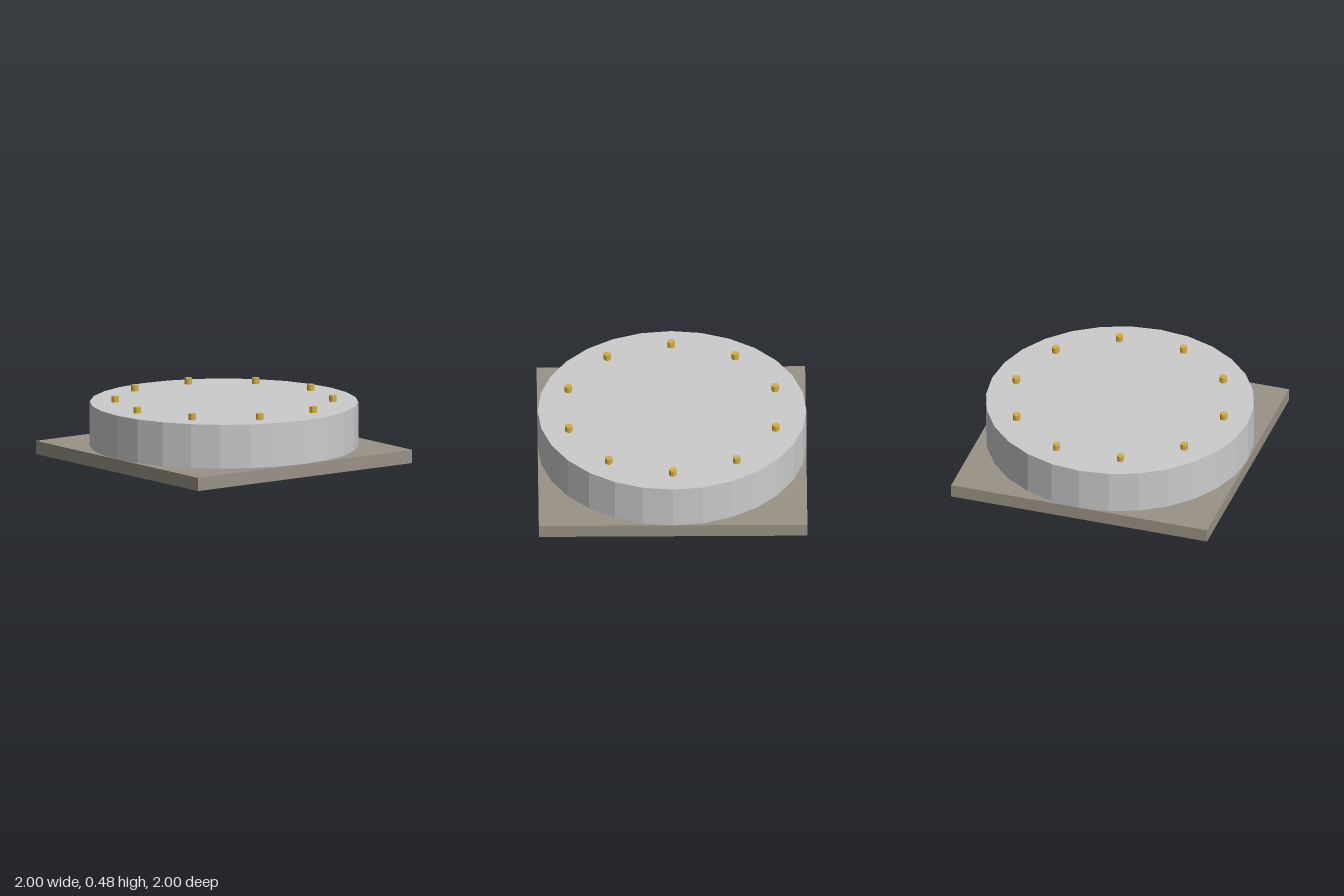
import * as THREE from 'three';

export function createModel() {
  const model = new THREE.Group();
  const add = (name, geometry, color, x, y, z) => {
    const material = new THREE.MeshStandardMaterial({ color, flatShading: true });
    const mesh = new THREE.Mesh(geometry, material);
    mesh.name = name;
    mesh.position.set(x, y, z);
    model.add(mesh);
  };

  // Square base plate
  add('basePlate', new THREE.BoxGeometry(2, 0.1, 2), 0x9a9286, 0, 0.05, 0);

  // Faceted drum standing on the plate
  add('drum', new THREE.CylinderGeometry(1, 1, 0.33, 28), 0xcccccc, 0, 0.265, 0);

  // Ring of brass studs, sunk slightly into the drum top
  const studCount = 10;
  const studRing = 0.81;
  const stud = new THREE.CylinderGeometry(0.028, 0.028, 0.06, 12);
  for (let i = 0; i < studCount; i++) {
    const a = (i / studCount) * Math.PI * 2;
    add(`stud${i + 1}`, stud, 0xd4af37, Math.sin(a) * studRing, 0.446, Math.cos(a) * studRing);
  }
  return model;
}
